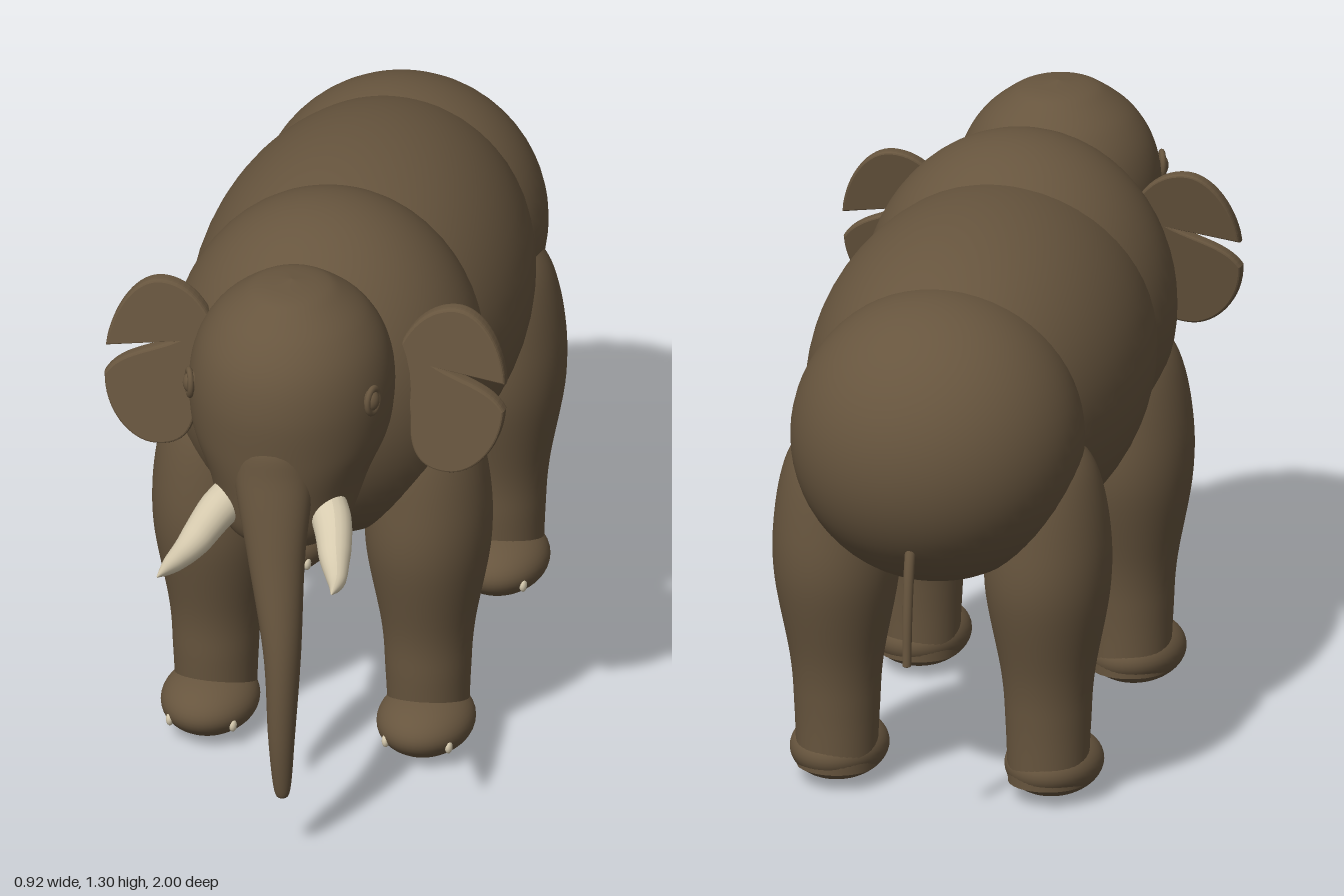
import * as THREE from 'three';

const hide = new THREE.MeshStandardMaterial({ color: 0x67553e });
hide.name = 'brownHide';
const ivory = new THREE.MeshStandardMaterial({ color: 0xd8ccb0 });
ivory.name = 'ivory';

function part(name, geometry, material = hide) {
  const mesh = new THREE.Mesh(geometry, material);
  mesh.name = name;
  return mesh;
}

function ellipsoid(name, center, radii, material = hide, detail = 48) {
  const g = new THREE.SphereGeometry(1, detail, detail / 2);
  g.scale(...radii);
  g.translate(...center);
  return part(name, g, material);
}

// Smooth skin through level oval sections [y, centreX, centreZ, radiusX, radiusZ], listed upwards
function loft(name, sections, rows = 48, sides = 40) {
  const path = new THREE.CatmullRomCurve3(
    sections.map(([y, x, z]) => new THREE.Vector3(x, y, z)), false, 'catmullrom');
  const size = new THREE.CatmullRomCurve3(
    sections.map((s) => new THREE.Vector3(s[3], s[4], 0)), false, 'catmullrom');
  const pos = [], index = [];
  for (let i = 0; i <= rows; i++) {
    const c = path.getPoint(i / rows), r = size.getPoint(i / rows);
    for (let j = 0; j < sides; j++) {
      const a = (j / sides) * Math.PI * 2;
      pos.push(c.x + Math.max(r.x, 0) * Math.cos(a), c.y, c.z + Math.max(r.y, 0) * Math.sin(a));
      if (i === rows) continue;
      const p = i * sides + j, q = i * sides + ((j + 1) % sides);
      index.push(p, p + sides, q, q, p + sides, q + sides);
    }
  }
  const g = new THREE.BufferGeometry();
  g.setAttribute('position', new THREE.Float32BufferAttribute(pos, 3));
  g.setIndex(index);
  g.computeVertexNormals();
  return part(name, g);
}

// Round tube whose radius follows a list of values along the path
function taperedTube(name, points, radii, material) {
  const curve = new THREE.CatmullRomCurve3(points.map((p) => new THREE.Vector3(...p)));
  const rows = 32, sides = 20;
  const g = new THREE.TubeGeometry(curve, rows, 1, sides);
  const pos = g.attributes.position, v = new THREE.Vector3();
  for (let i = 0; i <= rows; i++) {
    const c = curve.getPointAt(i / rows);
    const f = (i / rows) * (radii.length - 1), k = Math.min(Math.floor(f), radii.length - 2);
    const r = THREE.MathUtils.lerp(radii[k], radii[k + 1], f - k);
    for (let j = 0; j <= sides; j++) {
      const n = i * (sides + 1) + j;
      v.fromBufferAttribute(pos, n).sub(c).multiplyScalar(r).add(c);
      pos.setXYZ(n, v.x, v.y, v.z);
    }
  }
  g.computeVertexNormals();
  return part(name, g, material);
}

// Thin ear plate with a notch dividing it into two lobes, leaning back at the top
function ear(side) {
  const s = new THREE.Shape();
  s.moveTo(0.2, 1.0);
  s.bezierCurveTo(0.21, 1.1, 0.27, 1.165, 0.337, 1.165);
  s.bezierCurveTo(0.39, 1.165, 0.44, 1.1, 0.452, 1.013);
  s.lineTo(0.285, 1.036);
  s.bezierCurveTo(0.35, 1.0, 0.42, 0.995, 0.452, 0.945);
  s.bezierCurveTo(0.45, 0.86, 0.39, 0.8, 0.335, 0.8);
  s.bezierCurveTo(0.27, 0.8, 0.25, 0.84, 0.25, 0.9);
  s.bezierCurveTo(0.25, 0.95, 0.23, 0.97, 0.2, 1.0);
  const g = new THREE.ExtrudeGeometry(s, {
    depth: 0.012, bevelEnabled: true, bevelSize: 0.006, bevelThickness: 0.012,
    bevelSegments: 3, curveSegments: 16,
  });
  const pos = g.attributes.position;
  for (let i = 0; i < pos.count; i++) {
    pos.setZ(i, pos.getZ(i) + 0.334 - (pos.getY(i) - 0.98) * 0.2);
  }
  g.computeVertexNormals();
  const mesh = part('ear', g);
  // A half turn plus the opposite lean gives the mirrored ear
  if (side < 0) {
    for (let i = 0; i < pos.count; i++) pos.setX(i, -pos.getX(i));
    for (let i = 0; i < pos.count; i += 3) {
      const b = new THREE.Vector3().fromBufferAttribute(pos, i + 1);
      const c = new THREE.Vector3().fromBufferAttribute(pos, i + 2);
      pos.setXYZ(i + 1, c.x, c.y, c.z);
      pos.setXYZ(i + 2, b.x, b.y, b.z);
    }
    g.computeVertexNormals();
  }
  return mesh;
}

function leg(name, side, dz) {
  const group = new THREE.Group();
  group.name = name;
  const x = 0.243 * side, z = 0.166 + dz;
  group.add(loft('legColumn', [
    [0.04, x, z, 0.09, 0.09],
    [0.18, x, z + 0.004, 0.096, 0.1],
    [0.3, x, z + 0.002, 0.105, 0.113],
    [0.5, x, z, 0.14, 0.16],
    [0.65, x, z, 0.138, 0.158],
    [0.78, x * 0.96, z, 0.118, 0.135],
    [0.85, x * 0.92, z, 0.07, 0.085],
    [0.88, x * 0.9, z, 0, 0],
  ]));
  group.add(ellipsoid('foot', [0.247 * side, 0.072, 0.21 + dz], [0.11, 0.072, 0.14]));
  // Toenails just breaking the surface of the foot
  for (const t of [-1, 1]) {
    group.add(ellipsoid('toenail', [0.247 * side + t * 0.072, 0.055, 0.307 + dz],
      [0.009, 0.016, 0.012], ivory, 16));
  }
  return group;
}

function eye(side) {
  const group = new THREE.Group();
  group.name = 'eye';
  group.add(ellipsoid('eyeball', [0.205 * side, 1.075, 0.605], [0.02, 0.026, 0.022], hide, 24));
  const lid = part('eyelid', new THREE.TorusGeometry(0.022, 0.007, 10, 24));
  lid.scale.y = 1.3;
  lid.rotation.y = side * 1.2;
  lid.position.set(0.21 * side, 1.075, 0.607);
  group.add(lid);
  return group;
}

export function createModel() {
  const model = new THREE.Group();
  model.name = 'elephant';

  // Torso
  model.add(ellipsoid('barrel', [0, 0.872, -0.25], [0.375, 0.385, 0.64], hide, 64));
  model.add(ellipsoid('rump', [0, 0.855, -0.67], [0.33, 0.33, 0.33], hide, 64));
  model.add(ellipsoid('shoulders', [0, 0.9, 0.11], [0.355, 0.4, 0.355], hide, 64));

  // Head and trunk
  model.add(loft('head', [
    [0.69, 0, 0.56, 0, 0],
    [0.705, 0, 0.555, 0.1, 0.1],
    [0.75, 0, 0.55, 0.145, 0.15],
    [0.85, 0, 0.51, 0.18, 0.215],
    [0.95, 0, 0.495, 0.22, 0.24],
    [1.06, 0, 0.49, 0.23, 0.25],
    [1.15, 0, 0.49, 0.213, 0.232],
    [1.22, 0, 0.49, 0.172, 0.188],
    [1.27, 0, 0.49, 0.113, 0.124],
    [1.29, 0, 0.49, 0.07, 0.08],
    [1.3, 0, 0.49, 0, 0],
  ], 80, 56));
  model.add(loft('trunk', [
    [0.14, 0.04, 0.78, 0, 0],
    [0.16, 0.04, 0.78, 0.018, 0.018],
    [0.3, 0.04, 0.787, 0.03, 0.034],
    [0.5, 0.038, 0.77, 0.042, 0.05],
    [0.72, 0.015, 0.727, 0.065, 0.057],
    [0.9, 0, 0.68, 0.09, 0.07],
    [1.0, 0, 0.655, 0.08, 0.07],
    [1.06, 0, 0.62, 0, 0],
  ]));

  // Paired head parts and legs
  for (const side of [1, -1]) {
    model.add(ear(side));
    model.add(eye(side));
    model.add(taperedTube('tusk', [
      [0.08 * side, 0.83, 0.57], [0.13 * side, 0.795, 0.67], [0.165 * side, 0.766, 0.8],
      [0.19 * side, 0.765, 0.9], [0.2 * side, 0.785, 1.0],
    ], [0.045, 0.045, 0.037, 0.022, 0.001], ivory));
    model.add(leg('frontLeg', side, 0));
    model.add(leg('hindLeg', side, -0.79));
  }

  // Tail
  model.add(taperedTube('tail', [
    [0, 0.72, -0.91], [0, 0.64, -0.94], [0, 0.53, -0.958], [0, 0.405, -0.966],
  ], [0.012, 0.012, 0.011, 0.01], hide));
  model.add(ellipsoid('tailTip', [0, 0.407, -0.966], [0.01, 0.005, 0.01], hide, 16));

  return model;
}
